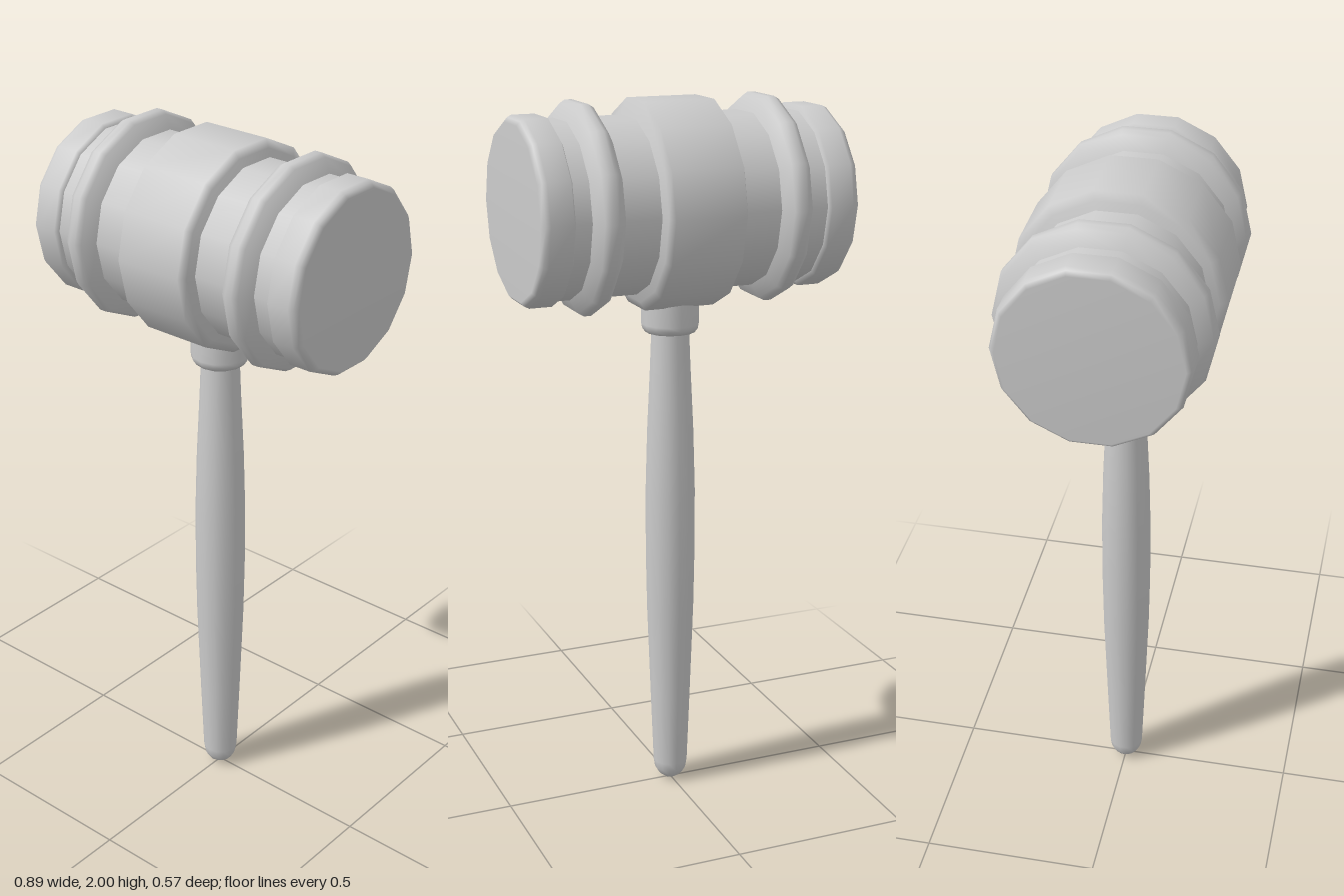
import * as THREE from 'three';

const SIDES = 14;
const AXIS_Y = 1.722; // height of the head's axis

export function createModel() {
  const group = new THREE.Group();
  const material = new THREE.MeshStandardMaterial({ color: 0xcccccc });

  // Turned part from [radius, position along axis] pairs
  const turned = (name, profile) => {
    const points = profile.map(([r, h]) => new THREE.Vector2(r, h));
    const mesh = new THREE.Mesh(new THREE.LatheGeometry(points, SIDES), material);
    mesh.name = name;
    return mesh;
  };

  // Head, lying along x
  const head = new THREE.Group();
  head.name = 'head';
  head.position.y = AXIS_Y;
  group.add(head);
  const addToHead = (name, profile, side = 1) => {
    const mesh = turned(name, profile);
    mesh.rotation.z = -side * Math.PI / 2;
    head.add(mesh);
  };

  addToHead('headCore', [[0.24, -0.38], [0.24, 0.38]]);
  addToHead('centreBand', [
    [0.235, -0.122], [0.262, -0.111], [0.285, -0.1],
    [0.285, 0.1], [0.262, 0.111], [0.235, 0.122],
  ]);

  for (const side of [1, -1]) {
    const prefix = side > 0 ? 'left' : 'right';
    // Raised bead
    addToHead(prefix + 'Bead', [
      [0.235, 0.218], [0.24, 0.22], [0.277, 0.24], [0.286, 0.255],
      [0.286, 0.275], [0.277, 0.29], [0.24, 0.31], [0.235, 0.312],
    ], side);
    // Bevelled striking end
    addToHead(prefix + 'StrikingEnd', [
      [0.235, 0.353], [0.24, 0.355], [0.253, 0.362], [0.253, 0.425],
      [0.247, 0.437], [0.236, 0.447], [0, 0.447],
    ], side);
  }

  // Collar under the head
  group.add(turned('collar', [
    [0, 1.366], [0.07, 1.366], [0.079, 1.378], [0.081, 1.39], [0.081, 1.47],
  ]));

  // Swelling handle with a rounded tip
  group.add(turned('handle', [
    [0, 0], [0.018, 0.004], [0.035, 0.017], [0.046, 0.036], [0.05, 0.06],
    [0.058, 0.27], [0.068, 0.55], [0.071, 0.72], [0.071, 0.9],
    [0.066, 1.08], [0.057, 1.27], [0.052, 1.4],
  ]));

  return group;
}
